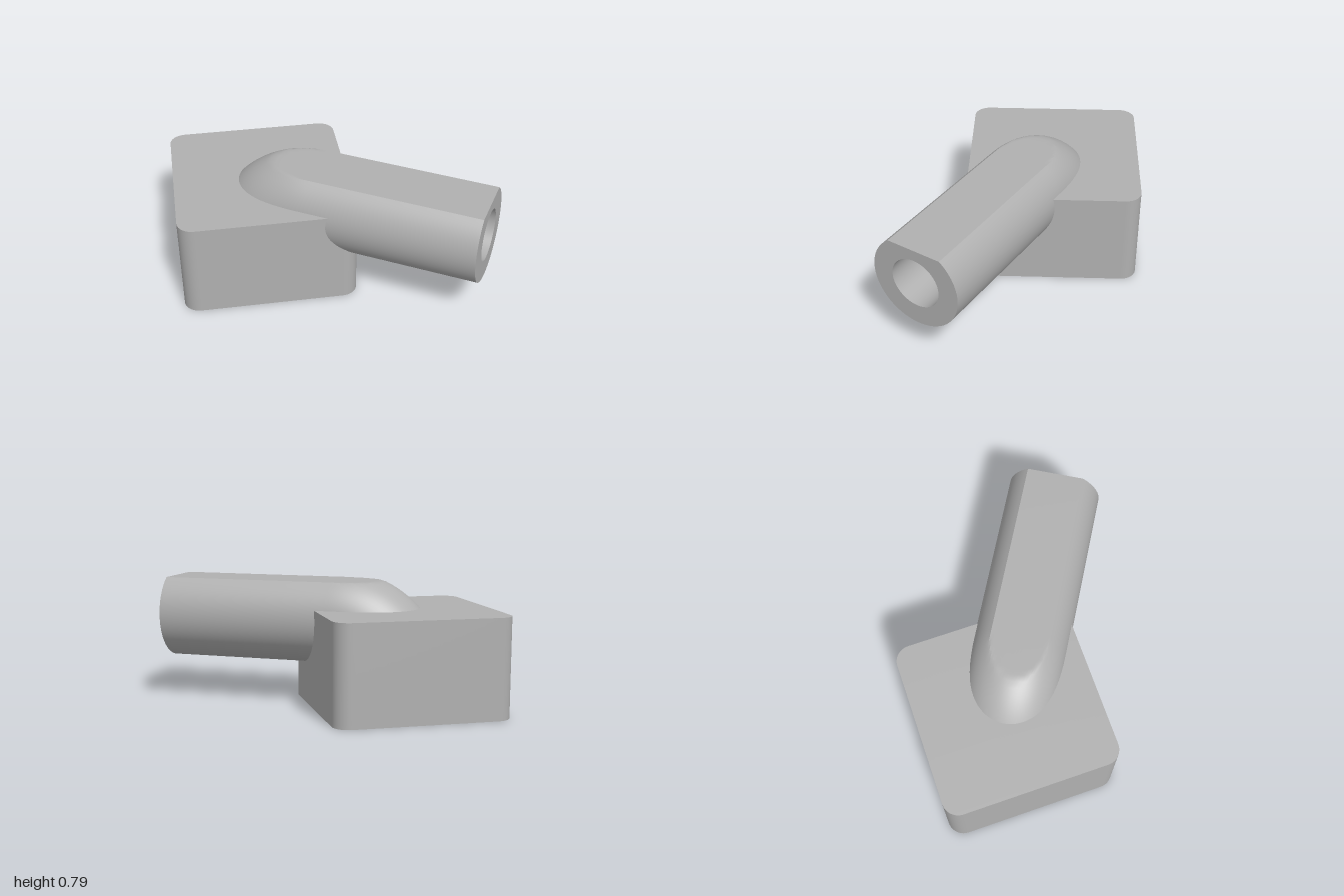
import * as THREE from 'three';
import { toCreasedNormals } from 'three/addons/utils/BufferGeometryUtils.js';

const BOX = { cx: -0.45, cz: -0.24, half: 0.55, h: 0.62, r: 0.1 };
const CAV = { half: 0.44, h: 0.51 };
const PIPE = { r: 0.295, bore: 0.163, y: 0.55, flat: 0.785, bend: 1.12, R: 0.4 };

const V = (x, y, z) => new THREE.Vector3(x, y, z);
const end = V(0.846, PIPE.y, 0.536);                 // centre of the open pipe end
const dir = V(-0.86, 0, -0.51).normalize();          // from the open end into the box
const side = V(dir.z, 0, -dir.x);
const up = V(0, 1, 0);

// Surface from a rule f(u, v); keep() drops cells, flip turns it inside out
function patch(f, nu, nv, { flip = false, keep = () => true } = {}) {
  const pos = [];
  const rows = [];
  for (let j = 0; j <= nv; j++) {
    rows.push([]);
    for (let i = 0; i <= nu; i++) rows[j].push(f(i / nu, j / nv));
  }
  const tri = (a, b, c) => (flip ? [a, c, b] : [a, b, c]).forEach(p => pos.push(p.x, p.y, p.z));
  for (let j = 0; j < nv; j++) for (let i = 0; i < nu; i++) {
    const a = rows[j][i], b = rows[j][i + 1], c = rows[j + 1][i + 1], d = rows[j + 1][i];
    if (!keep(a.clone().add(b).add(c).add(d).multiplyScalar(0.25))) continue;
    tri(a, b, c);
    tri(a, c, d);
  }
  const g = new THREE.BufferGeometry();
  g.setAttribute('position', new THREE.Float32BufferAttribute(pos, 3));
  return toCreasedNormals(g, 0.45);
}

// Point on the pipe: straight run, then an arc bending down into the box
function pipePoint(len, angle, r) {
  const a = Math.max(0, len - PIPE.bend) / PIPE.R;
  const n = dir.clone().multiplyScalar(Math.sin(a)).addScaledVector(up, Math.cos(a));
  const p = end.clone().addScaledVector(dir, Math.min(len, PIPE.bend) + PIPE.R * Math.sin(a));
  p.y -= PIPE.R * (1 - Math.cos(a));
  return p.addScaledVector(side, r * Math.cos(angle)).addScaledVector(n, r * Math.sin(angle));
}

// Distance from the pipe's centre line
function pipeDistance(p) {
  const q = p.clone().sub(end);
  const t = q.dot(dir), s = q.dot(side);
  if (t < PIPE.bend) return Math.hypot(s, q.y);
  return Math.hypot(s, Math.hypot(t - PIPE.bend, q.y + PIPE.R) - PIPE.R);
}

const inside = (p, half, h) =>
  Math.abs(p.x - BOX.cx) < half && Math.abs(p.z - BOX.cz) < half && p.y < h;

function squareShape(h, r) {
  const s = new THREE.Shape();
  s.moveTo(h, -h + r);
  s.lineTo(h, h - r);
  if (r) s.absarc(h - r, h - r, r, 0, Math.PI / 2);
  s.lineTo(-h + r, h);
  if (r) s.absarc(-h + r, h - r, r, Math.PI / 2, Math.PI);
  s.lineTo(-h, -h + r);
  if (r) s.absarc(-h + r, -h + r, r, Math.PI, Math.PI * 1.5);
  s.lineTo(h - r, -h);
  if (r) s.absarc(h - r, -h + r, r, Math.PI * 1.5, Math.PI * 2);
  else s.lineTo(h, -h);
  return s;
}

export function createModel() {
  const group = new THREE.Group();
  const grey = new THREE.MeshStandardMaterial({ color: 0xb0b0b0, side: THREE.DoubleSide });
  grey.name = 'grey';
  const add = (name, geometry) => {
    const m = new THREE.Mesh(geometry, grey);
    m.name = name;
    group.add(m);
  };

  // Upright walls following a plan outline
  const walls = (shape, n, h, rows, options) => {
    const pts = shape.getSpacedPoints(n);
    return patch((u, v) => {
      const p = pts[Math.round(u * n)];
      return V(BOX.cx + p.x, v * h, BOX.cz - p.y);
    }, n, rows, options);
  };

  // Box shell, open where the pipe passes through it
  const outsidePipe = p => pipeDistance(p) > 0.23;
  const outsideBore = p => pipeDistance(p) > PIPE.bore;
  const outline = squareShape(BOX.half, BOX.r);
  const opening = squareShape(CAV.half, 0);
  add('boxWalls', walls(outline, 240, BOX.h, 24, { keep: outsidePipe }));
  add('boxTop', patch((u, v) => {
    const z = BOX.half * Math.sin((v - 0.5) * Math.PI);
    const k = Math.max(0, Math.abs(z) - BOX.half + BOX.r);
    const w = BOX.half - BOX.r + Math.sqrt(Math.max(0, BOX.r ** 2 - k ** 2));
    return V(BOX.cx + (2 * u - 1) * w, BOX.h, BOX.cz - z);
  }, 50, 70, { keep: outsidePipe }));

  // Square cavity, open underneath
  add('cavityWalls', walls(opening, 176, CAV.h, 30, { flip: true, keep: outsideBore }));
  add('cavityCeiling', patch((u, v) => V(
    BOX.cx + (2 * u - 1) * CAV.half, CAV.h, BOX.cz - (2 * v - 1) * CAV.half
  ), 60, 60, { flip: true, keep: outsideBore }));
  const rimShape = squareShape(BOX.half, BOX.r);
  rimShape.holes.push(new THREE.Path(opening.getPoints().reverse()));
  add('bottomRim', new THREE.ShapeGeometry(rimShape, 12)
    .rotateX(Math.PI / 2).translate(BOX.cx, 0, BOX.cz));

  // Angles round the pipe, with exact stops at both edges of the flat
  const edge = Math.asin((PIPE.flat - PIPE.y) / PIPE.r);
  const angles = [];
  for (let i = 0; i < 20; i++) angles.push(edge + (Math.PI - 2 * edge) * i / 20);
  for (let i = 0; i <= 60; i++) angles.push(Math.PI - edge + (Math.PI + 2 * edge) * i / 60);
  const n = angles.length - 1;
  const angleAt = u => angles[Math.round(u * n)];

  // Length of each pipe line until it enters a given part of the box
  const reach = (r, half, h) => angles.map(a => {
    let len = 0;
    while (len < 1.74 && !inside(pipePoint(len, a, r), half, h)) len += 0.004;
    return len;
  });
  const outerReach = reach(PIPE.r, 0.5, 0.57);
  const boreReach = reach(PIPE.bore, CAV.half, CAV.h);
  const outer = (len, a) => {
    const p = pipePoint(len, a, PIPE.r);
    p.y = Math.min(p.y, PIPE.flat);
    return p;
  };

  add('pipe', patch((u, v) => outer(v * outerReach[Math.round(u * n)], angleAt(u)), n, 60));
  add('pipeBore', patch((u, v) =>
    pipePoint(v * boreReach[Math.round(u * n)], angleAt(u), PIPE.bore), n, 50, { flip: true }));
  add('pipeEnd', patch((u, v) =>
    outer(0, angleAt(u)).lerp(pipePoint(0, angleAt(u), PIPE.bore), v), n, 1, { flip: true }));

  return group;
}
